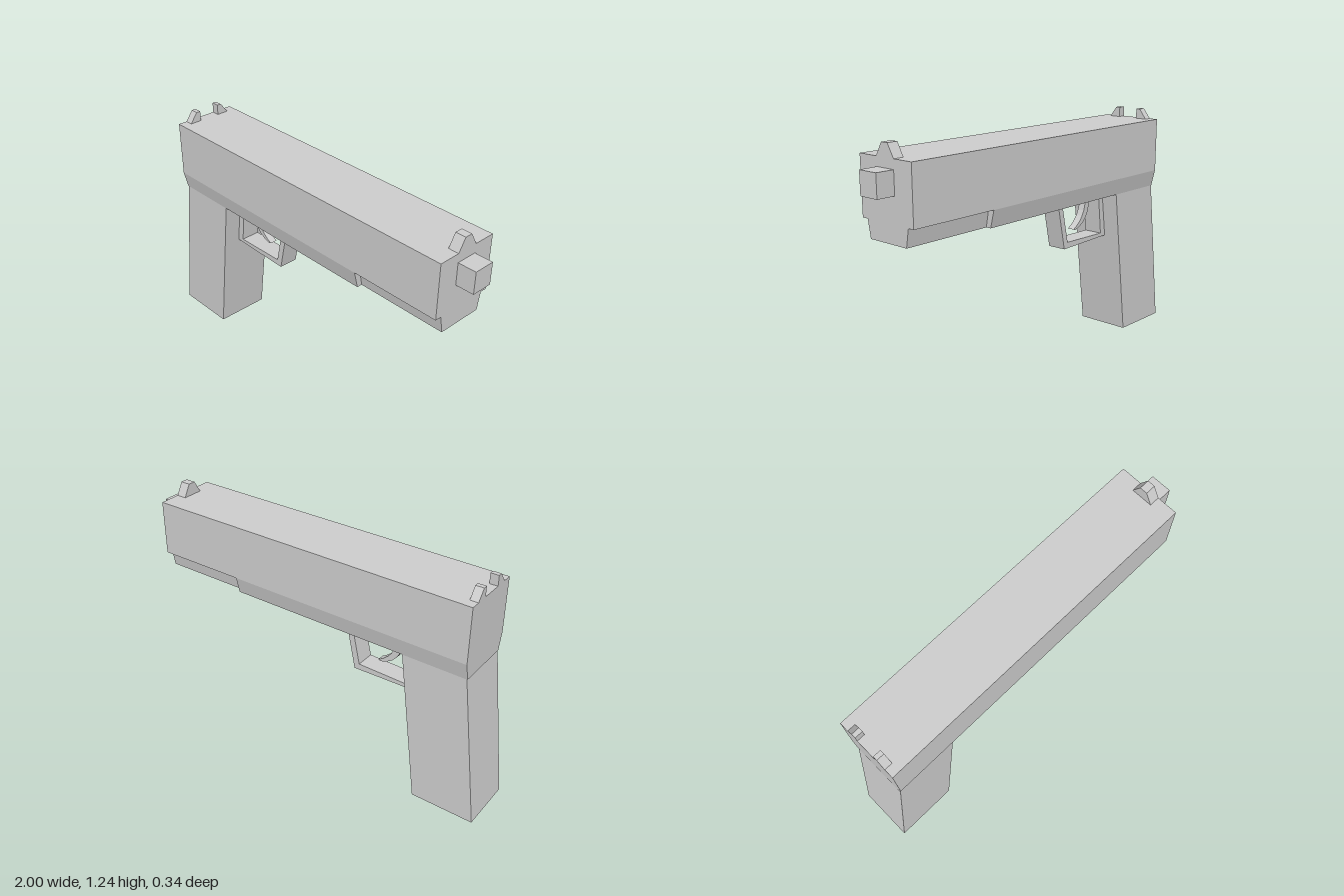
import * as THREE from 'three';

const material = new THREE.MeshStandardMaterial({ color: 0xcccccc, flatShading: true });

const polygon = (points) => new THREE.Shape(points.map(([a, b]) => new THREE.Vector2(a, b)));

function mesh(name, geometry) {
  const m = new THREE.Mesh(geometry, material);
  m.name = name;
  return m;
}

// Side outline (x, y) given a thickness across z
function fromSide(name, shape, halfWidth) {
  const g = new THREE.ExtrudeGeometry(shape, { depth: 2 * halfWidth, bevelEnabled: false, curveSegments: 6 });
  return mesh(name, g.translate(0, 0, -halfWidth));
}

// Cross-section (z, y) swept along x; the turn flips z, so it is negated first
function alongX(name, section, x0, x1) {
  const shape = polygon(section.map(([z, y]) => [-z, y]));
  const g = new THREE.ExtrudeGeometry(shape, { depth: x1 - x0, bevelEnabled: false });
  return mesh(name, g.rotateY(Math.PI / 2).translate(x0, 0, 0));
}

// Mirrors half a cross-section across z = 0
const symmetric = (half) => [...half, ...half.map(([z, y]) => [-z, y]).reverse()];

export function createModel() {
  const model = new THREE.Group();

  // Slide, tapered frame and narrower dust cover
  model.add(alongX('slide', symmetric([[0.169, 0.89], [0.169, 1.178]]), -0.9, 0.905));
  model.add(alongX('frame', symmetric([[0.147, 0.8], [0.169, 0.89]]), -0.9, 0.42));
  model.add(alongX('dustCover', symmetric([[0.119, 0.8], [0.135, 0.89]]), 0.42, 0.905));

  // Barrel end
  model.add(alongX('barrel', symmetric([[0.055, 1.018], [0.055, 1.132]]), 0.905, 1));

  // Sights
  model.add(alongX('frontSight', symmetric([[0.057, 1.178], [0.02, 1.242]]), 0.85, 0.905));
  for (const s of [1, -1]) {
    const section = [[0.12, 1.178], [0.08, 1.231], [0.057, 1.231], [0.057, 1.178]];
    model.add(alongX(s > 0 ? 'rearSightLeft' : 'rearSightRight', section.map(([z, y]) => [s * z, y]), -0.9, -0.858));
  }

  // Raked grip
  model.add(fromSide('grip', polygon([[-1, 0], [-0.665, 0], [-0.562, 0.8], [-0.897, 0.8]]), 0.147));

  // Trigger guard with its opening
  const guard = polygon([[-0.565, 0.8], [-0.597, 0.55], [-0.238, 0.542], [-0.183, 0.8]]);
  guard.holes.push(polygon([[-0.532, 0.77], [-0.555, 0.569], [-0.265, 0.575], [-0.222, 0.77]]));
  model.add(fromSide('triggerGuard', guard, 0.052));

  // Curved trigger
  const trigger = new THREE.Shape();
  trigger.moveTo(-0.49, 0.78);
  trigger.quadraticCurveTo(-0.485, 0.645, -0.37, 0.617);
  trigger.lineTo(-0.355, 0.622);
  trigger.quadraticCurveTo(-0.45, 0.67, -0.455, 0.78);
  model.add(fromSide('trigger', trigger, 0.02));

  return model;
}
